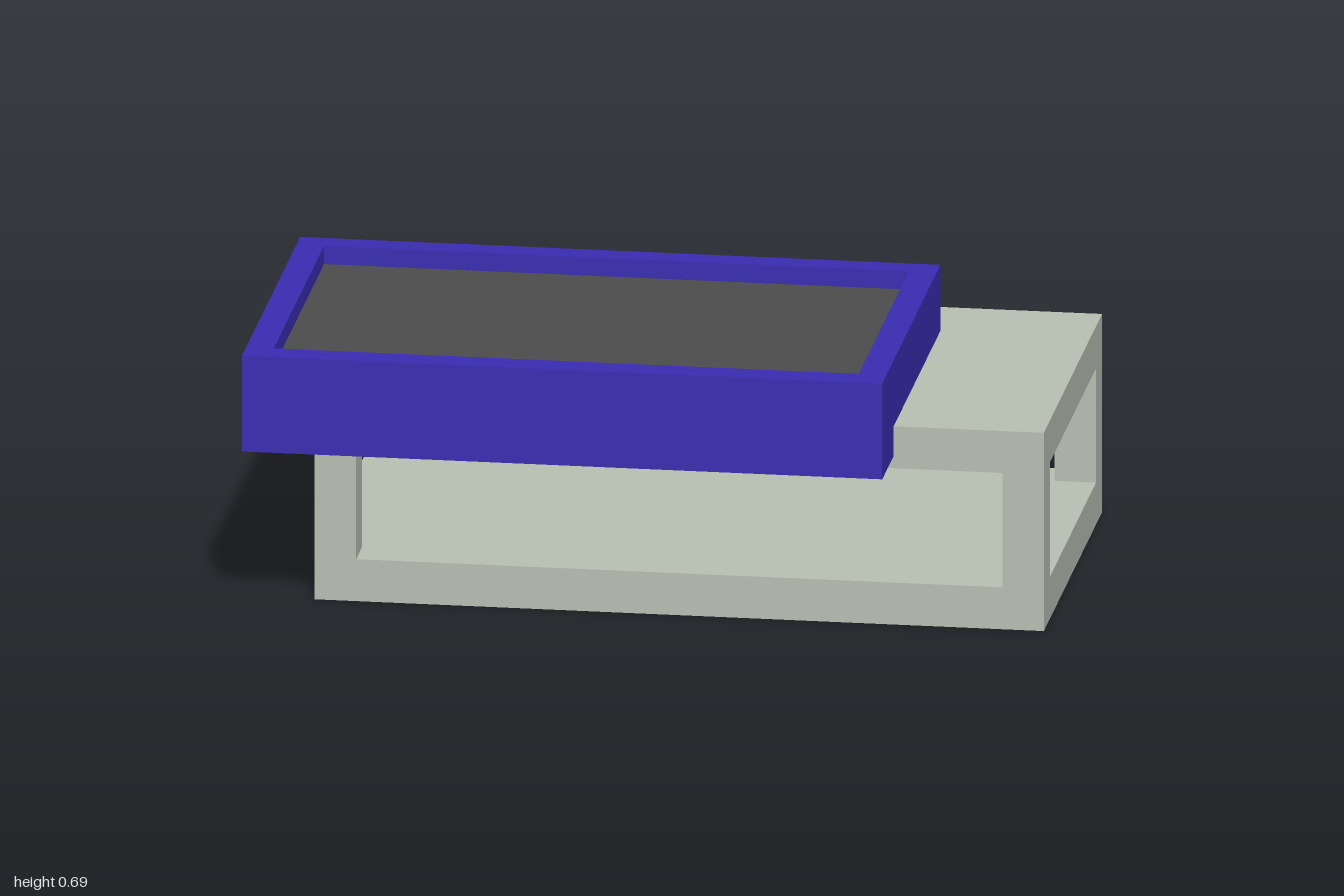
import * as THREE from 'three';

const stone = new THREE.MeshStandardMaterial({ color: 0xb8c0b4 });
stone.name = 'pale grey green';
const blue = new THREE.MeshStandardMaterial({ color: 0x3a2cb2 });
blue.name = 'deep blue';
const dark = new THREE.MeshStandardMaterial({ color: 0x4c4c4c });
dark.name = 'dark grey';

// Box given by its lower and upper corners
function block(name, material, [x0, y0, z0], [x1, y1, z1]) {
  const mesh = new THREE.Mesh(new THREE.BoxGeometry(x1 - x0, y1 - y0, z1 - z0), material);
  mesh.position.set((x0 + x1) / 2, (y0 + y1) / 2, (z0 + z1) / 2);
  mesh.name = name;
  return mesh;
}

// Rectangle outline; y of the shape becomes -z when laid flat
function rectangle(target, x0, z0, x1, z1) {
  target.moveTo(x0, -z1).lineTo(x1, -z1).lineTo(x1, -z0).lineTo(x0, -z0).closePath();
  return target;
}

export function createModel() {
  const model = new THREE.Group();
  model.name = 'pavilion';

  // Open lower storey: floor and ceiling slabs on four corner posts
  const base = new THREE.Group();
  base.name = 'openBase';
  const [x0, x1, z0, z1] = [-0.845, 1, -0.603, 0.405];
  const t = 0.105;
  base.add(block('floorSlab', stone, [x0, 0, z0], [x1, 0.11, z1]));
  base.add(block('ceilingSlab', stone, [x0, 0.41, z0], [x1, 0.52, z1]));
  for (const x of [x0, x1 - t]) {
    for (const z of [z0, z1 - t]) {
      base.add(block('cornerPost', stone, [x, 0.11, z], [x + t, 0.41, z + t]));
    }
  }
  model.add(base);

  // Shifted upper storey with a raised rim around a recessed roof
  const upper = new THREE.Group();
  upper.name = 'upperTray';
  const roofY = 0.64, topY = 0.693;
  upper.add(block('trayBody', blue, [-1, 0.442, -0.405], [0.62, roofY, 0.603]));
  const ring = rectangle(new THREE.Shape(), -1, -0.405, 0.62, 0.603);
  ring.holes.push(rectangle(new THREE.Path(), -0.93, -0.34, 0.55, 0.53));
  const rimGeometry = new THREE.ExtrudeGeometry(ring, { depth: topY - roofY, bevelEnabled: false });
  rimGeometry.rotateX(-Math.PI / 2);
  const rim = new THREE.Mesh(rimGeometry, blue);
  rim.position.y = roofY;
  rim.name = 'trayRim';
  upper.add(rim);
  upper.add(block('roofPanel', dark, [-0.93, roofY, -0.34], [0.55, roofY + 0.005, 0.53]));
  model.add(upper);

  return model;
}
